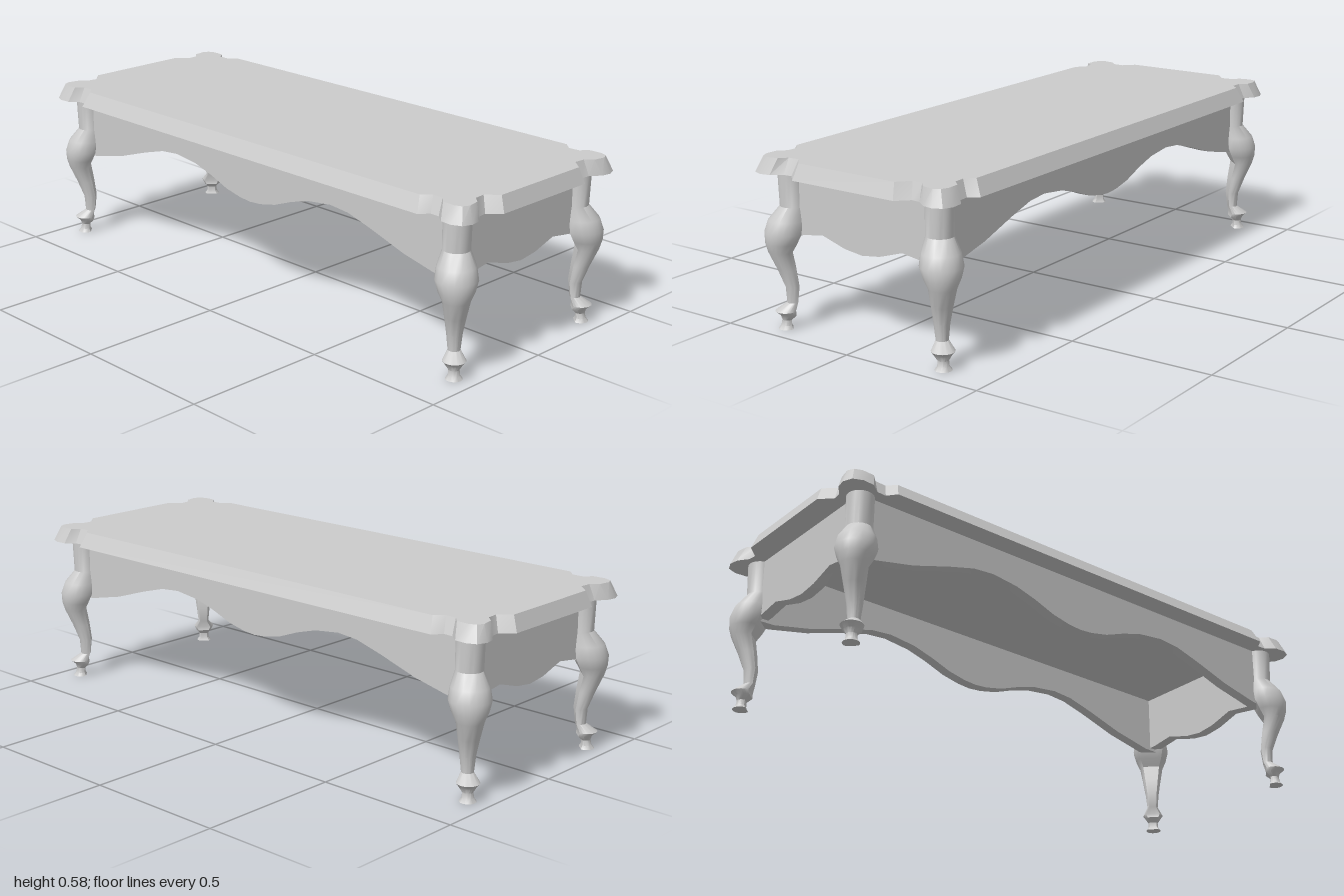
import * as THREE from 'three';
import { toCreasedNormals } from 'three/addons/utils/BufferGeometryUtils.js';

const material = new THREE.MeshStandardMaterial({ color: 0xcccccc });

// Closed solid through rings of [x, z] points, each ring at its own height, bottom to top
function loft(rings, crease) {
  const n = rings[0].points.length;
  const positions = rings.flatMap(({ y, points }) => points.flatMap(([x, z]) => [x, y, z]));
  const index = [];
  for (let r = 0; r < rings.length - 1; r++) {
    for (let i = 0; i < n; i++) {
      const j = (i + 1) % n;
      const a = r * n + i, b = r * n + j;
      index.push(a, a + n, b, b, a + n, b + n);
    }
  }
  const cap = (ring) => THREE.ShapeUtils.triangulateShape(
    ring.points.map(([x, z]) => new THREE.Vector2(x, z)), []);
  const last = (rings.length - 1) * n;
  cap(rings[0]).forEach(([a, b, c]) => index.push(a, b, c));
  cap(rings[rings.length - 1]).forEach(([a, b, c]) => index.push(last + a, last + c, last + b));
  const geometry = new THREE.BufferGeometry();
  geometry.setAttribute('position', new THREE.Float32BufferAttribute(positions, 3));
  geometry.setIndex(index);
  return toCreasedNormals(geometry, crease);
}

// Full outline from one quarter, mirrored in x and z
function mirrorQuarter(q) {
  const back = [...q].reverse();
  return [
    ...q,
    ...back.map(([x, z]) => [-x, z]),
    ...q.map(([x, z]) => [-x, -z]),
    ...back.map(([x, z]) => [x, -z]),
  ];
}

// Table top: notched, rounded corners and a sloping rim
function tableTop() {
  const lower = [[1, 0.2], [0.96, 0.24], [0.963, 0.27], [0.99, 0.305], [0.996, 0.34],
    [0.983, 0.372], [0.95, 0.386], [0.91, 0.383], [0.878, 0.356], [0.845, 0.354], [0.82, 0.386]];
  const upper = [[0.98, 0.19], [0.94, 0.226], [0.943, 0.265], [0.968, 0.288], [0.976, 0.33],
    [0.965, 0.352], [0.94, 0.362], [0.897, 0.36], [0.873, 0.334], [0.834, 0.332], [0.805, 0.36]];
  return loft([
    { y: 0.524, points: mirrorQuarter(lower) },
    { y: 0.576, points: mirrorQuarter(upper) },
  ], 0.6);
}

// Apron board with a wavy lower edge, given for its right half as [distance, y]
function apronBoard(wave, thickness) {
  const edge = [...wave.slice(1).reverse().map(([x, y]) => [-x, y]), ...wave];
  const end = wave[wave.length - 1][0];
  const outline = [...edge, [end, 0.526], [-end, 0.526]];
  const shape = new THREE.Shape(outline.map(([x, y]) => new THREE.Vector2(x, y)));
  const geometry = new THREE.ExtrudeGeometry(shape, { depth: thickness, bevelEnabled: false });
  geometry.translate(0, 0, -thickness);
  return toCreasedNormals(geometry, 0.5);
}

// Curved leg: sections of [y, inner, outer] along the corner, rounded outside, flat inside
function cabrioleLeg() {
  const centre = 0.32;
  const sections = [
    [0, 0.292, 0.347], [0.012, 0.3, 0.338], [0.03, 0.3, 0.335], [0.046, 0.283, 0.342],
    [0.06, 0.281, 0.356], [0.087, 0.283, 0.323], [0.14, 0.276, 0.327], [0.2, 0.277, 0.346],
    [0.26, 0.28, 0.368], [0.29, 0.262, 0.378], [0.325, 0.246, 0.382], [0.365, 0.247, 0.37],
    [0.41, 0.25, 0.338], [0.526, 0.25, 0.341],
  ];
  const sides = 20;
  const rings = sections.map(([y, inner, outer]) => {
    const c = (inner + outer) / 2 - centre;
    const r = (outer - inner) / 2;
    const points = [];
    for (let i = 0; i < sides; i++) {
      const a = (i / sides) * Math.PI * 2;
      let x = Math.cos(a), z = Math.sin(a);
      // flatten the side that faces the inside of the table
      const excess = Math.min(0, x + z + 1) / 2;
      x -= excess;
      z -= excess;
      points.push([c + x * r, c + z * r]);
    }
    return { y, points };
  });
  return loft(rings, 0.6);
}

export function createModel() {
  const group = new THREE.Group();
  const add = (name, geometry, x = 0, z = 0, turn = 0) => {
    const mesh = new THREE.Mesh(geometry, material);
    mesh.name = name;
    mesh.position.set(x, 0, z);
    mesh.rotation.y = turn;
    group.add(mesh);
  };

  add('tableTop', tableTop());

  // Aprons
  const longApron = apronBoard([[0, 0.341], [0.05, 0.345], [0.12, 0.36], [0.2, 0.39], [0.28, 0.413],
    [0.38, 0.425], [0.46, 0.418], [0.56, 0.39], [0.7, 0.345], [0.85, 0.312], [0.91, 0.31]], 0.04);
  const shortApron = apronBoard([[0, 0.298], [0.07, 0.307], [0.16, 0.335], [0.245, 0.322],
    [0.305, 0.32]], 0.04);
  add('frontApron', longApron, 0, 0.31);
  add('backApron', longApron, 0, -0.31, Math.PI);
  add('leftApron', shortApron, 0.915, 0, Math.PI / 2);
  add('rightApron', shortApron, -0.915, 0, -Math.PI / 2);

  // Legs, each turned so its knee points out of its corner
  const leg = cabrioleLeg();
  [['frontLeftLeg', 1, 1], ['backLeftLeg', 1, -1], ['backRightLeg', -1, -1], ['frontRightLeg', -1, 1]]
    .forEach(([name, sx, sz], i) => add(name, leg, sx * 0.925, sz * 0.32, i * Math.PI / 2));

  return group;
}
